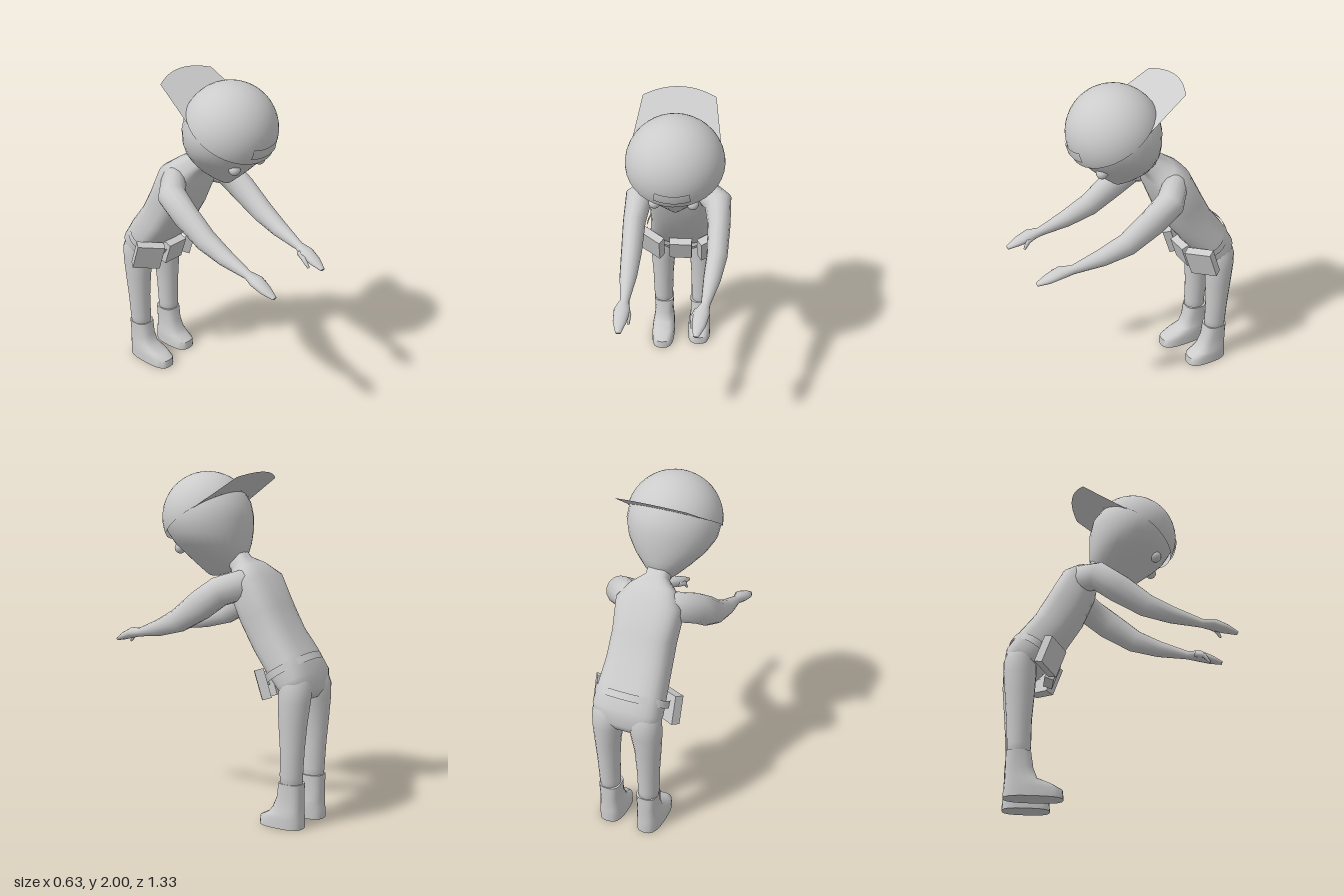
import * as THREE from 'three';
import { toCreasedNormals } from 'three/addons/utils/BufferGeometryUtils.js';

const grey = new THREE.MeshStandardMaterial({ color: 0xcccccc });
const greyOpen = new THREE.MeshStandardMaterial({ color: 0xcccccc, side: THREE.DoubleSide });

function add(parent, name, geometry, material = grey) {
  const mesh = new THREE.Mesh(geometry, material);
  mesh.name = name;
  parent.add(mesh);
  return mesh;
}

// Closed loft through sections [x, y, z, half width, half depth].
// Rings stand across the path, or stay level when level is true.
// power 2 gives ellipses, higher values give boxier rings.
function loft(sections, { sides = 20, power = 2, level = false, crease = 0 } = {}) {
  const centres = sections.map(s => new THREE.Vector3(s[0], s[1], s[2]));
  const last = sections.length - 1;
  const pos = [], idx = [];
  const round = v => Math.sign(v) * Math.pow(Math.abs(v), 2 / power);
  sections.forEach((s, i) => {
    const t = level ? new THREE.Vector3(0, 1, 0)
      : centres[Math.min(i + 1, last)].clone().sub(centres[Math.max(i - 1, 0)]).normalize();
    const side = new THREE.Vector3(1, 0, 0).addScaledVector(t, -t.x).normalize();
    const depth = side.clone().cross(t);
    for (let j = 0; j < sides; j++) {
      const a = (j / sides) * Math.PI * 2;
      const p = centres[i].clone()
        .addScaledVector(side, s[3] * round(Math.cos(a)))
        .addScaledVector(depth, s[4] * round(Math.sin(a)));
      pos.push(p.x, p.y, p.z);
    }
  });
  const first = sections.length * sides;
  pos.push(...centres[0].toArray(), ...centres[last].toArray());
  for (let j = 0; j < sides; j++) {
    const k = (j + 1) % sides;
    for (let i = 0; i < last; i++) {
      const a = i * sides, b = a + sides;
      idx.push(a + j, b + j, a + k, a + k, b + j, b + k);
    }
    idx.push(first, j, k, first + 1, last * sides + k, last * sides + j);
  }
  const g = new THREE.BufferGeometry();
  g.setAttribute('position', new THREE.Float32BufferAttribute(pos, 3));
  g.setIndex(idx);
  if (crease) return toCreasedNormals(g, crease);
  g.computeVertexNormals();
  return g;
}

function makeHead() {
  const head = new THREE.Group();
  head.name = 'head';
  // Round skull narrowing to a pointed chin
  add(head, 'face', loft([
    [0, 1.393, 0.05, 0.01, 0.03], [0, 1.41, 0.03, 0.035, 0.075], [0, 1.45, 0.015, 0.08, 0.138],
    [0, 1.51, 0.028, 0.142, 0.191], [0, 1.58, 0.057, 0.21, 0.231], [0, 1.65, 0.078, 0.254, 0.253],
    [0, 1.735, 0.092, 0.27, 0.266], [0, 1.82, 0.094, 0.252, 0.25], [0, 1.9, 0.095, 0.2, 0.2],
    [0, 1.96, 0.095, 0.125, 0.125], [0, 1.99, 0.095, 0.03, 0.03],
  ], { sides: 32, level: true }));
  for (const x of [-0.105, 0.105]) {
    add(head, 'eye', new THREE.SphereGeometry(0.034, 16, 12)).position.set(x, 1.555, 0.222);
  }
  return head;
}

// Cap worn backwards, tipped down over the forehead
function makeCap() {
  const cap = new THREE.Group();
  cap.name = 'cap';
  cap.position.set(0, 1.733, 0.095);
  cap.rotation.x = 0.567;
  const dome = add(cap, 'capDome', new THREE.SphereGeometry(0.268, 36, 14, 0, Math.PI * 2, 0, 1.523), greyOpen);
  dome.scale.x = 1.02;
  add(cap, 'capStrap', new THREE.SphereGeometry(0.275, 12, 4, Math.PI / 2 - 0.38, 0.76, 1.152, 0.212), greyOpen);
  const outline = new THREE.Shape();
  outline.moveTo(-0.25, 0.08);
  outline.lineTo(-0.205, 0.404);
  outline.quadraticCurveTo(0, 0.525, 0.205, 0.404);
  outline.lineTo(0.25, 0.08);
  const brim = new THREE.ShapeGeometry(outline, 16);
  brim.rotateX(-Math.PI / 2);
  add(cap, 'capBrim', brim, greyOpen).position.y = 0.013;
  return cap;
}

// xs: shoulder root, shoulder, upper arm, elbow, forearm, wrist, palm, fingers, tip
function makeArm(name, s, xs, thumb) {
  const arm = new THREE.Group();
  arm.name = name;
  const rest = [
    [1.365, -0.24, 0.07, 0.085], [1.325, -0.14, 0.084, 0.086], [1.243, -0.02, 0.066, 0.088],
    [1.142, 0.14, 0.06, 0.07], [1.088, 0.29, 0.05, 0.05], [1.045, 0.46, 0.026, 0.026],
    [1.035, 0.53, 0.046, 0.032], [1.01, 0.6, 0.038, 0.024], [0.985, 0.665, 0.015, 0.01],
  ];
  add(arm, 'sleeveAndHand', loft(rest.map((r, i) => [s * xs[i], ...r]), { sides: 14 }));
  add(arm, 'thumb', loft(thumb, { sides: 8 }));
  return arm;
}

function makeLeg(name, s, toe) {
  const leg = new THREE.Group();
  leg.name = name;
  // Trouser leg swells into the seat and fades inside the hips
  add(leg, 'trouserLeg', loft([
    [s * 0.122, 0.2, -0.56, 0.056, 0.062], [s * 0.126, 0.3, -0.56, 0.063, 0.067],
    [s * 0.127, 0.45, -0.565, 0.067, 0.071], [s * 0.127, 0.6, -0.567, 0.077, 0.083],
    [s * 0.119, 0.72, -0.57, 0.092, 0.092], [s * 0.109, 0.8, -0.572, 0.101, 0.093],
    [s * 0.104, 0.88, -0.555, 0.088, 0.085], [s * 0.095, 0.95, -0.52, 0.06, 0.05],
  ], { sides: 20, level: true }));
  // Boot sections: height, front z, back z, half width
  const boot = [
    [0, toe, -0.635, 0.075], [0.05, toe - 0.005, -0.635, 0.075], [0.08, toe - 0.06, -0.632, 0.072],
    [0.11, -0.45, -0.63, 0.066], [0.17, -0.475, -0.63, 0.06], [0.26, -0.49, -0.63, 0.065],
  ];
  add(leg, 'boot', loft(boot.map(([y, f, b, w]) => [s * 0.121, y, (f + b) / 2, w, (f - b) / 2]),
    { level: true, power: 2.8, crease: 0.9 }));
  return leg;
}

function makeToolBelt() {
  const belt = new THREE.Group();
  belt.name = 'toolBelt';
  const band = add(belt, 'beltBand', new THREE.CylinderGeometry(1, 1, 0.042, 32, 1, true), greyOpen);
  band.position.set(0, 0.892, -0.495);
  band.scale.set(0.222, 1, 0.156);
  band.rotation.x = 0.58;
  const pouch = (name, x, y, z, size, yaw) => {
    const box = add(belt, name, new THREE.BoxGeometry(...size));
    box.position.set(x, y, z);
    box.rotation.set(0.33, yaw, 0);
  };
  for (const s of [-1, 1]) pouch('sidePouch', s * 0.188, 0.817, -0.405, [0.17, 0.17, 0.053], s * 0.6);
  pouch('frontPouch', 0, 0.8, -0.38, [0.14, 0.145, 0.055], 0);
  return belt;
}

export function createModel() {
  const model = new THREE.Group();
  model.name = 'leaningWorker';
  // Neck, chest and hips in one leaning body
  add(model, 'torso', loft([
    [0, 1.56, -0.06, 0.06, 0.07], [0, 1.47, -0.14, 0.068, 0.062], [0, 1.425, -0.19, 0.14, 0.085],
    [0, 1.36, -0.24, 0.198, 0.12], [0, 1.19, -0.32, 0.184, 0.13], [0, 1.05, -0.4, 0.188, 0.125],
    [0, 0.93, -0.49, 0.198, 0.124], [0, 0.84, -0.557, 0.206, 0.112], [0, 0.775, -0.572, 0.19, 0.09],
    [0, 0.735, -0.572, 0.1, 0.06],
  ], { sides: 28, power: 2.8 }));
  model.add(makeHead(), makeCap(), makeToolBelt());
  model.add(makeArm('leftArm', 1, [0.12, 0.234, 0.246, 0.243, 0.222, 0.195, 0.175, 0.165, 0.153],
    [[0.15, 1.035, 0.5, 0.018, 0.018], [0.128, 1.02, 0.55, 0.015, 0.015], [0.128, 0.975, 0.585, 0.007, 0.007]]));
  model.add(makeArm('rightArm', -1, [0.12, 0.234, 0.248, 0.25, 0.253, 0.256, 0.264, 0.27, 0.272],
    [[-0.245, 1.035, 0.5, 0.018, 0.018], [-0.225, 1.02, 0.55, 0.015, 0.015], [-0.225, 0.975, 0.575, 0.007, 0.007]]));
  model.add(makeLeg('leftLeg', 1, -0.365), makeLeg('rightLeg', -1, -0.307));
  return model;
}
